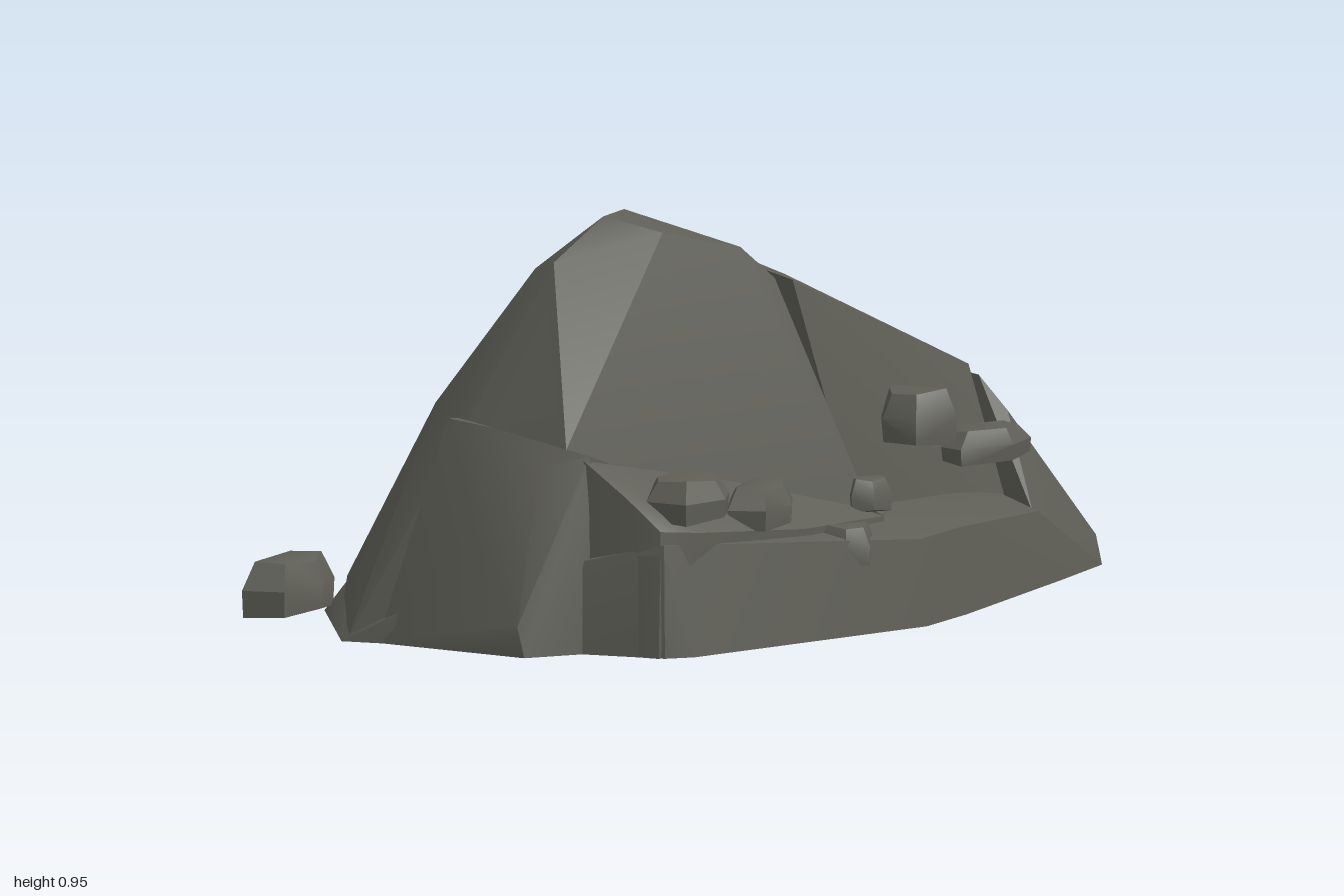
import * as THREE from 'three';
import { ConvexGeometry } from 'three/addons/geometries/ConvexGeometry.js';
import { toCreasedNormals } from 'three/addons/utils/BufferGeometryUtils.js';

const rock = new THREE.MeshStandardMaterial({ color: 0x5f5f57 });

// One faceted rock mass, wrapped around its corner points
function mass(name, corners) {
  const points = corners.map(([x, y, z]) => new THREE.Vector3(x, y, z));
  const mesh = new THREE.Mesh(toCreasedNormals(new ConvexGeometry(points), 0.5), rock);
  mesh.name = name;
  return mesh;
}

// A small chipped stone: a wide, flat-bottomed lower ring and a narrower, uneven top
function stone(name, [x, y, z], [w, h, d], turn, seed) {
  const wobble = (i) => 0.9 + 0.1 * Math.sin(seed * 7.3 + i * 4.1);
  const corners = [];
  for (const [level, radius] of [[-0.5, 0.56], [0, 0.58], [0.5, 0.42]]) {
    for (let i = 0; i < 6; i++) {
      const a = (i / 6) * Math.PI * 2 + 0.4;
      const r = radius * wobble(i + level * 3);
      corners.push([Math.cos(a) * r * w, level * h * wobble(i), Math.sin(a) * r * d]);
    }
  }
  const mesh = mass(name, corners);
  mesh.position.set(x, y, z);
  mesh.rotation.y = turn;
  return mesh;
}

export function createModel() {
  const group = new THREE.Group();
  group.name = 'rockOutcrop';

  // Footprint on the ground, going round from the left end
  const footprint = [
    [-1, -0.2], [-0.76, 0.55], [-0.7, 0.59], [-0.2, 0.67], [0, 0.72],
    [0.2, 0.68], [0.75, 0.53], [0.99, 0.46], [1, 0.25], [0.92, -0.2], [0.85, -0.35],
    [0.74, -0.45], [0.5, -0.55], [0.2, -0.65], [0, -0.72], [-0.1, -0.72],
    [-0.4, -0.6], [-0.65, -0.52],
  ].map(([x, z]) => [x, 0, z]);

  // Low base with a steep front lip
  group.add(mass('base', [
    ...footprint,
    [-0.75, 0.26, 0.54], [-0.2, 0.22, 0.65], [0, 0.2, 0.7], [0.2, 0.2, 0.66], [0.66, 0.17, 0.53],
    [0.2, 0.24, 0.5], [0.63, 0.22, 0.4], [0.9, 0.15, 0.05], [0.85, 0.12, -0.25],
    [0.5, 0.12, -0.46], [0, 0.17, -0.57], [-0.08, 0.05, -0.71], [-0.3, 0.12, -0.5], [-0.65, 0.08, -0.45],
    [-0.9, 0.14, 0.05],
  ]));

  // Tall block on the -x side of the crack
  group.add(mass('tallBlock', [
    [-0.78, 0.46, 0.28], [0, 0.27, 0.55], [0.02, 0, 0.56], [-0.78, 0, 0.3],
    [-0.7, 0.67, 0.15], [-0.62, 0.86, 0.12], [-0.42, 0.92, 0.28], [-0.22, 0.87, 0.35], [-0.13, 0.79, 0.38],
    [-0.46, 0.95, 0.14], [-0.37, 0.955, 0.13], [-0.22, 0.89, 0.14],
    [-0.56, 0.83, 0.02], [-0.38, 0.88, 0], [-0.2, 0.82, 0],
    [-0.24, 0.55, -0.18], [-0.7, 0.52, -0.16],
    [-0.95, 0.06, -0.17], [-0.98, 0, -0.2], [-0.72, 0.1, -0.4], [-0.24, 0.15, -0.34], [-0.24, 0, -0.36], [-0.72, 0, -0.42],
  ]));

  // Shoulder at the -x end and the rubble ledge beside it
  group.add(mass('shoulder', [
    [-0.82, 0.51, -0.03], [-0.75, 0.5, -0.05], [-0.82, 0.5, 0.1], [-0.83, 0.42, 0.24], [-0.77, 0.45, 0.34],
    [-0.9, 0.25, 0.12], [-0.95, 0.07, 0.27], [-0.8, 0.2, 0.36], [-0.97, 0, -0.12], [-0.96, 0, 0.05], [-0.95, 0, 0.29],
    [-0.8, 0, 0.37], [-0.6, 0.4, 0.3], [-0.6, 0, 0],
  ]));
  group.add(mass('ledge', [
    [-0.78, 0.44, 0.33], [-0.77, 0.36, 0.45], [-0.75, 0.29, 0.53], [-0.65, 0.28, 0.57], [-0.3, 0.25, 0.6], [0.02, 0.24, 0.58],
    [-0.35, 0.35, 0.43], [-0.1, 0.29, 0.5], [-0.77, 0, 0.54], [-0.8, 0, 0.38], [0, 0, 0.6], [-0.4, 0, 0.2],
  ]));

  // Long sloping block on the +x side of the crack
  group.add(mass('slopingBlock', [
    [-0.12, 0.87, 0.02], [-0.11, 0.865, -0.08], [-0.1, 0.79, -0.15], [-0.05, 0.775, 0.37], [0.16, 0.25, 0.45], [0.17, 0, 0.46],
    [0, 0.84, 0], [0.2, 0.775, 0], [0.4, 0.7, 0], [0.6, 0.56, 0], [0.66, 0.5, -0.03],
    [0.62, 0.5, 0.36], [0.65, 0.2, 0.44], [0.65, 0, 0.45],
    [-0.1, 0.5, -0.32], [0.2, 0.74, -0.14], [0.42, 0.64, -0.17], [0.45, 0.56, -0.23], [0.46, 0.42, -0.3], [0.68, 0.38, -0.19],
    [0.5, 0.15, -0.43], [0.8, 0.15, -0.27], [-0.1, 0.15, -0.5], [-0.1, 0, -0.58], [0.5, 0, -0.52], [0.82, 0, -0.32],
  ]));

  // Rounded spur running down the back
  group.add(mass('backSpur', [
    [0, 0.8, -0.12], [0.25, 0.73, -0.12], [-0.1, 0.74, -0.17], [0.08, 0.67, -0.3], [0.2, 0.65, -0.31],
    [-0.1, 0.5, -0.33], [0.05, 0.54, -0.41], [0.18, 0.53, -0.41], [-0.09, 0.37, -0.42], [0.06, 0.39, -0.44], [0.18, 0.39, -0.44],
    [-0.1, 0.18, -0.53], [0.05, 0.23, -0.54], [0.22, 0.2, -0.53], [0.42, 0.25, -0.4], [0.42, 0.5, -0.26],
    [-0.1, 0, -0.64], [0.1, 0, -0.66], [0.4, 0, -0.56],
  ]));

  // Floor of the crack
  group.add(mass('crackFloor', [
    [0.03, 0.24, 0.57], [0.13, 0.24, 0.5], [-0.2, 0.46, 0], [-0.1, 0.46, 0],
    [-0.24, 0.22, -0.36], [-0.08, 0.22, -0.42], [0.03, 0, 0.58], [-0.25, 0, -0.44], [-0.08, 0, -0.55],
  ]));

  // End buttress, split off by a narrow groove
  group.add(mass('endButtress', [
    [0.7, 0.5, -0.03], [0.7, 0.49, 0.1], [0.71, 0.46, 0.32], [0.78, 0.44, 0.05], [0.77, 0.42, 0.3], [0.74, 0.38, 0.38],
    [0.72, 0.15, 0.47], [0.74, 0, 0.52], [0.98, 0.07, 0.45], [0.99, 0, 0.46], [0.99, 0.03, 0.28],
    [0.85, 0.28, 0.05], [0.91, 0.18, 0.1], [0.94, 0, -0.02], [0.86, 0.15, -0.2], [0.9, 0, -0.22],
    [0.67, 0.38, -0.18], [0.8, 0.13, -0.3], [0.66, 0, -0.25], [0.85, 0, -0.34],
  ]));

  // Loose stones: position, size, turn
  [
    [[-0.8, 0.08, -0.51], [0.28, 0.13, 0.18], 0.15],
    [[0.55, 0.16, -0.45], [0.12, 0.12, 0.13], 0.3],
    [[0.88, 0.33, 0.04], [0.14, 0.13, 0.23], 0],
    [[0.3, 0.43, 0.46], [0.22, 0.13, 0.17], 0.1],
    [[0.53, 0.34, 0.48], [0.29, 0.08, 0.13], -0.1],
    [[-0.6, 0.35, 0.49], [0.25, 0.1, 0.2], 0.1],
    [[-0.38, 0.31, 0.53], [0.23, 0.1, 0.16], 0.3],
    [[-0.17, 0.2, 0.62], [0.13, 0.1, 0.12], 0],
    [[0.01, 0.29, 0.54], [0.12, 0.08, 0.1], 0.4],
  ].forEach(([at, size, turn], i) => group.add(stone('stone' + (i + 1), at, size, turn, i + 1)));

  return group;
}
